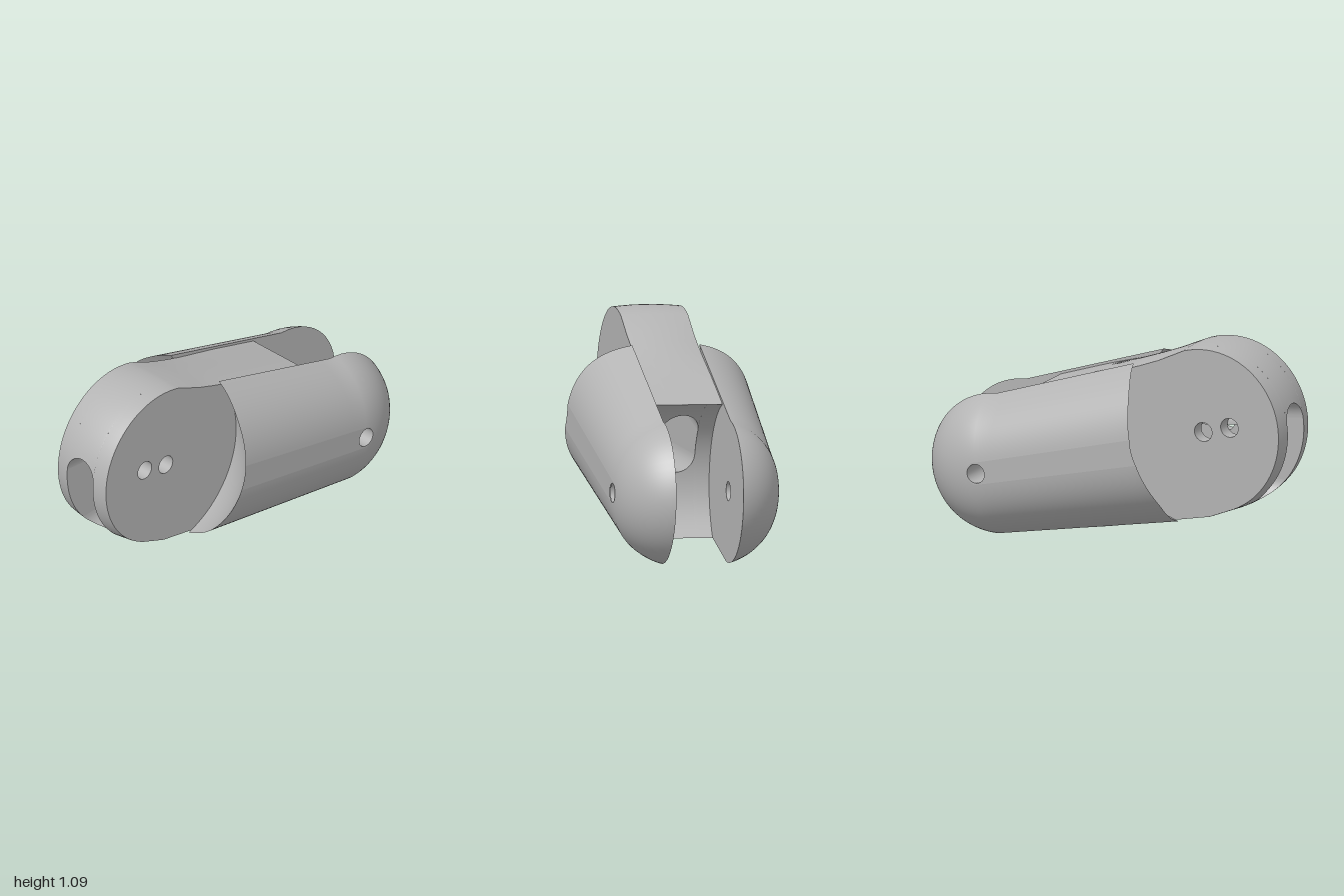
import * as THREE from 'three';
import { toCreasedNormals } from 'three/addons/utils/BufferGeometryUtils.js';

const grey = new THREE.MeshStandardMaterial({ color: 0xb4b4b4, side: THREE.DoubleSide });
grey.name = 'grey';

// Side-profile points are Vector2(z, y); F and B are the front and back pivots.
const P = (z, y) => new THREE.Vector2(z, y);
const F = P(0.56, 0.645), B = P(-0.63, 0.37);
const HALF = 0.177, CH = 0.095, RF = 0.44, RS = 0.46;
const deg = Math.PI / 180;
const midY = z => 0.37 + (z + 0.63) * 0.22;
const halfH = z => 0.37 + (z + 0.63) * 0.07;

function arc(c, r, a0, a1, n) {
  return Array.from({ length: n + 1 }, (_, i) => {
    const a = a0 + (a1 - a0) * i / n;
    return P(c.x + r * Math.cos(a), c.y + r * Math.sin(a));
  });
}

// Skin closed rings of Vector3 that share one point count
function loft(rings) {
  const n = rings[0].length, pos = [], idx = [];
  rings.forEach(r => r.forEach(p => pos.push(p.x, p.y, p.z)));
  for (let i = 0; i < rings.length - 1; i++) {
    for (let j = 0; j < n; j++) {
      const a = i * n + j, b = i * n + (j + 1) % n;
      idx.push(a, a + n, b, b, a + n, b + n);
    }
  }
  const g = new THREE.BufferGeometry();
  g.setAttribute('position', new THREE.Float32BufferAttribute(pos, 3));
  g.setIndex(idx);
  g.computeVertexNormals();
  return toCreasedNormals(g, 0.6);
}

// Flat end face with round holes, placed by an x rule
function cap(points, holes, xOf) {
  const s = new THREE.Shape(points);
  holes.forEach(h => {
    const p = new THREE.Path();
    p.absarc(h.x, h.y, 0.05, 0, Math.PI * 2, true);
    s.holes.push(p);
  });
  const g = new THREE.ShapeGeometry(s, 16), a = g.attributes.position;
  for (let i = 0; i < a.count; i++) {
    const z = a.getX(i), y = a.getY(i);
    a.setXYZ(i, xOf(z), y, z);
  }
  g.computeVertexNormals();
  return g;
}

function add(group, name, geometry) {
  const m = new THREE.Mesh(geometry, grey);
  m.name = name;
  group.add(m);
  return m;
}

function pinHole(group, c, x0, x1) {
  const g = new THREE.CylinderGeometry(0.05, 0.05, Math.abs(x1 - x0), 32, 1, true);
  g.rotateZ(Math.PI / 2);
  add(group, 'pinHoleWall', g).position.set((x0 + x1) / 2, c.y, c.x);
}

// Slight crown across the width of the tongue
function crown(pts, x) {
  const t = (x / HALF) ** 2, q = 1.02 - 0.04 * t;
  return pts.map(p => P(
    p.x - 0.02 * t * Math.max(0, (p.x - F.x) / RF),
    p.x < -0.1 ? p.y : midY(p.x) + (p.y - midY(p.x)) * (p.x > 0.3 ? q - 0.02 + 0.02 * t : q)));
}
const at = (pts, x) => pts.map(p => new THREE.Vector3(x, p.y, p.x));

const topLine = [P(0.3, 1.005), P(0.2, 0.97), P(0.1, 0.938), P(-0.15, 0.865)];
const bottomLine = [P(0, 0.085), P(0.2, 0.118), P(0.4, 0.155), P(0.58, 0.185)];
const TOP = 105 * deg, LOW = -68 * deg, S_TOP = 64 * deg, S_LOW = -44 * deg;

function tongueOutline(x) {
  return crown([...arc(F, RF, LOW, TOP, 40), ...topLine,
    ...arc(B, RS, S_TOP, S_LOW, 24), ...bottomLine], x);
}
// Parts above and below the central channel
function upperOutline(x) {
  const r = Math.sqrt(Math.max(0, CH * CH - x * x));
  const a = Math.asin((0.695 + r - F.y) / RF), b = Math.asin((0.605 + r - B.y) / RS);
  return crown([...arc(F, RF, a, TOP, 24), ...topLine, ...arc(B, RS, S_TOP, b, 10)], x);
}
function lowerOutline(x) {
  const r = Math.sqrt(Math.max(0, CH * CH - x * x));
  const a = Math.asin((0.355 - r - F.y) / RF), b = Math.asin((0.465 - r - B.y) / RS);
  return crown([...arc(F, RF, LOW, a, 16), ...arc(B, RS, b, S_LOW, 14), ...bottomLine], x);
}

// Outline of a side arm: concave front, straight flanks, round back
function armOutline(h) {
  const rb = 0.28 + 0.235 * h * h, front = [], N = 24;
  for (let i = 0; i <= N; i++) {
    const v = -1 + 2 * i / N;
    let z = 0.25;
    for (let k = 0; k < 30; k++) {
      const y = midY(z) + v * halfH(z) * h;
      const next = F.x - Math.sqrt(Math.max(0.0256, rb * rb - (y - F.y) ** 2));
      z = (z + next) / 2;
    }
    front.push(P(z, midY(z) + v * halfH(z) * h));
  }
  const flank = (z0, z1, v) => Array.from({ length: 11 }, (_, i) => {
    const z = z0 + (z1 - z0) * (i + 1) / 12;
    return P(z, midY(z) + v * halfH(z) * h);
  });
  return [...front, ...flank(front[N].x, B.x, 1),
    ...arc(B, 0.37 * h, Math.PI / 2, Math.PI * 1.5, 28), ...flank(B.x, front[0].x, -1)];
}

function buildArm(side) {
  const g = new THREE.Group();
  g.name = side > 0 ? 'leftArm' : 'rightArm';
  const p = 2.25, u0 = 0.39, rings = [], end = Math.acos(0.16), N = 28;
  const xRule = h => {
    const u = Math.pow(1 - Math.pow(h, p) * (1 - Math.pow(u0, p)), 1 / p);
    const s = (u - u0) / (1 - u0);
    return z => side * (HALF + (0.435 + 0.054 * (z + 0.65) - HALF) * s);
  };
  for (let i = 0; i <= N; i++) {
    const h = Math.cos(end * i / N), xOf = xRule(h);
    rings.push(armOutline(h).map(q => new THREE.Vector3(xOf(q.x), q.y, q.x)));
  }
  if (side < 0) rings.reverse();
  add(g, 'armSkin', loft(rings));
  add(g, 'armInnerFace', cap(armOutline(1), [B], xRule(1)));
  add(g, 'armOuterFace', cap(armOutline(0.16), [B], xRule(0.16)));
  pinHole(g, B, side * HALF, xRule(0.16)(B.x));
  return g;
}

function buildTongue() {
  const g = new THREE.Group();
  g.name = 'tongue';
  const pins = [P(0.7, 0.675), P(0.55, 0.64)];
  // Cheeks either side of the channel
  for (const side of [-1, 1]) {
    const xs = [CH, 0.115, 0.135, 0.155, HALF].map(x => x * side);
    if (side < 0) xs.reverse();
    add(g, 'cheek', loft(xs.map(x => at(tongueOutline(x), x))));
    for (const x of [CH * side, HALF * side]) {
      add(g, 'cheekFace', cap(tongueOutline(x), pins, () => x));
    }
    pins.forEach(c => pinHole(g, c, CH * side, HALF * side));
  }
  // Bridges that close the channel above and below
  const xs = Array.from({ length: 21 }, (_, i) => -CH * Math.cos(Math.PI * i / 20));
  add(g, 'upperBridge', loft(xs.map(x => at(upperOutline(x), x))));
  add(g, 'lowerBridge', loft(xs.map(x => at(lowerOutline(x), x))));
  return g;
}

export function createModel() {
  const link = new THREE.Group();
  link.name = 'jointLink';
  link.add(buildTongue(), buildArm(1), buildArm(-1));
  link.children.forEach(c => { c.position.x = 0.02; });
  // The link rests slightly turned and rolled
  link.rotation.set(0, -0.1, 0.033, 'YZX');
  link.position.y = 0.005;
  const model = new THREE.Group();
  model.name = 'model';
  model.add(link);
  return model;
}
